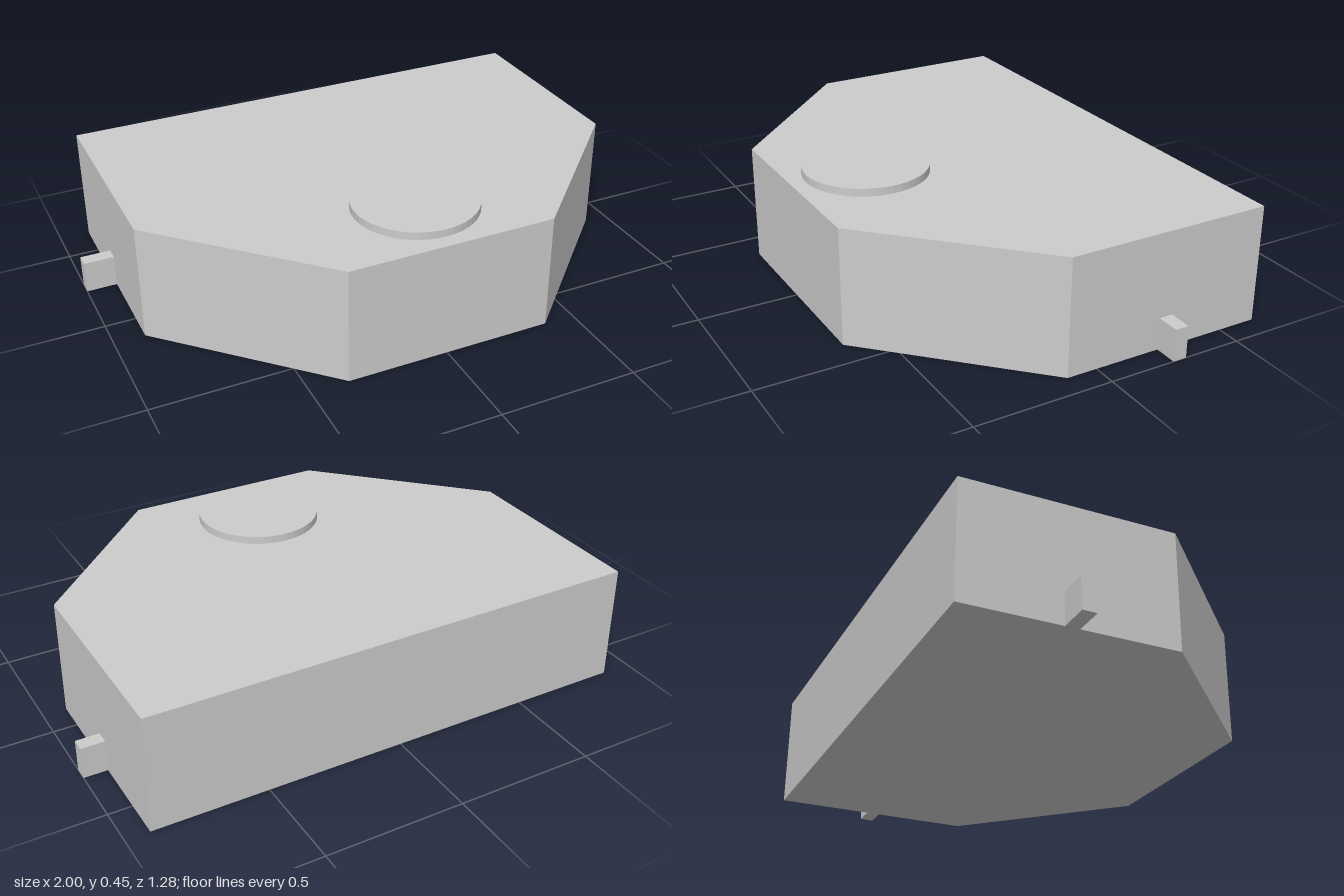
import * as THREE from 'three';

export function createModel() {
  const model = new THREE.Group();
  const material = new THREE.MeshStandardMaterial({ color: 0xcccccc, flatShading: true });

  const add = (name, geometry, x = 0, y = 0, z = 0) => {
    const mesh = new THREE.Mesh(geometry, material);
    mesh.name = name;
    mesh.position.set(x, y, z);
    model.add(mesh);
  };

  const height = 0.424;
  const left = 0.915, right = -0.89;

  // Block with two chamfered front corners, drawn in plan (shape y = -z)
  const plan = [
    [right, -0.64], [right, 0.11], [-0.363, 0.64],
    [0.388, 0.64], [left, 0.11], [left, -0.64],
  ].map(([x, z]) => new THREE.Vector2(x, -z));
  const body = new THREE.ExtrudeGeometry(new THREE.Shape(plan), { depth: height, bevelEnabled: false });
  body.rotateX(-Math.PI / 2);
  add('body', body);

  // Low round disc near the front of the top
  const discHeight = 0.028;
  add('topDisc', new THREE.CylinderGeometry(0.223, 0.223, discHeight, 48), 0.012, height + discHeight / 2, 0.363);

  // Small side pegs, reaching from the body walls to the full width
  for (const [name, inner, outer] of [['leftPeg', left, 1], ['rightPeg', right, -1]]) {
    add(name, new THREE.BoxGeometry(Math.abs(outer - inner), 0.117, 0.05), (inner + outer) / 2, 0.0585, -0.265);
  }

  return model;
}
